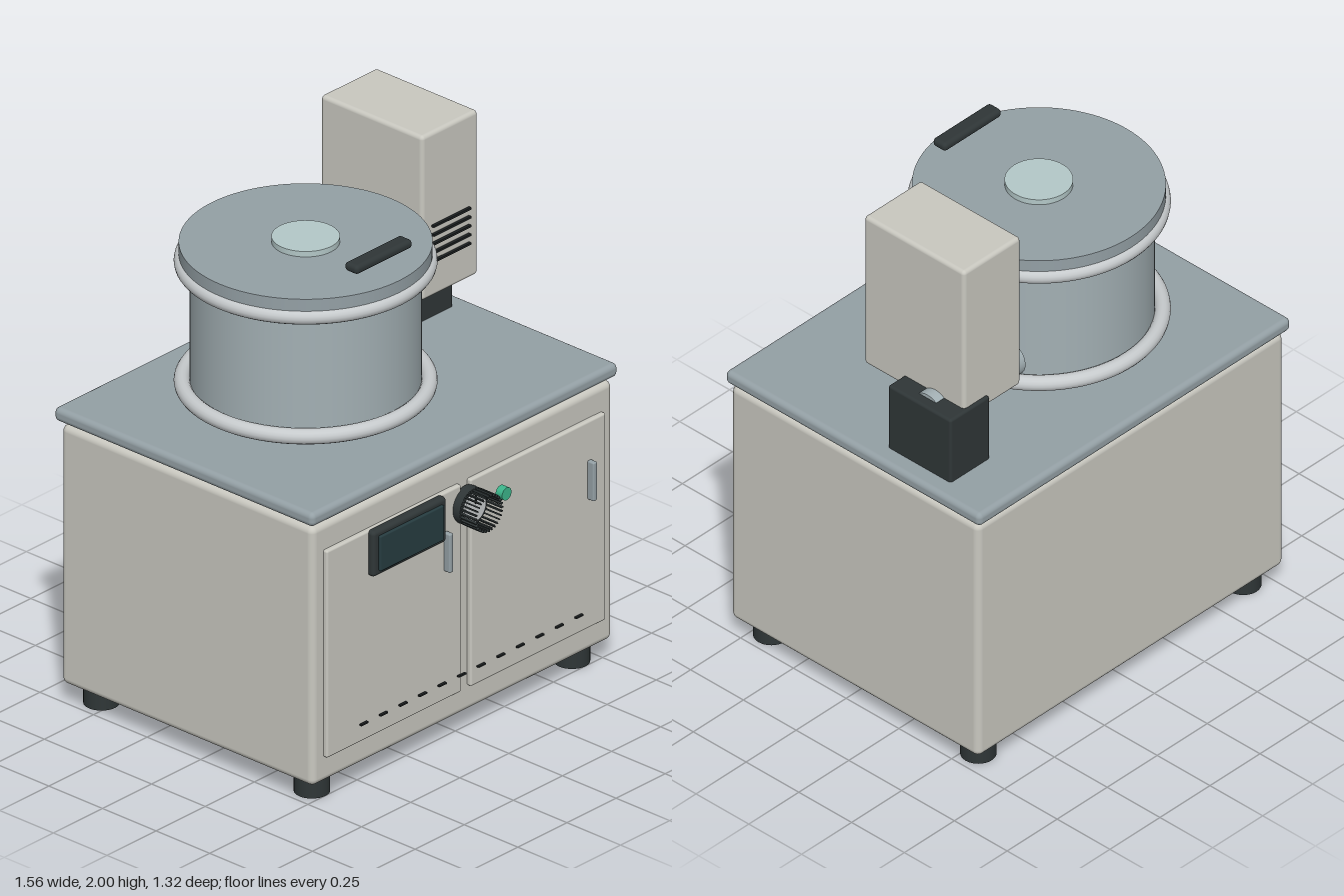
import * as THREE from 'three';
import { RoundedBoxGeometry } from 'three/addons/geometries/RoundedBoxGeometry.js';

const mat = (color) => new THREE.MeshStandardMaterial({ color });

export function createModel() {
  const model = new THREE.Group();
  const cream = mat(0xc9c8c0), slate = mat(0x94a0a5), steel = mat(0xa3b0b4), chrome = mat(0xc6cacc);
  const dark = mat(0x2f3637), black = mat(0x1c2021), glass = mat(0x263c40), green = mat(0x3cb48a), pale = mat(0xb4c8c8);

  const add = (name, geometry, material, x = 0, y = 0, z = 0) => {
    const mesh = new THREE.Mesh(geometry, material);
    mesh.name = name;
    mesh.position.set(x, y, z);
    model.add(mesh);
    return mesh;
  };

  // Box given by its limits on each axis, rounded when a radius is given
  const box = (name, material, [x0, x1], [y0, y1], [z0, z1], r = 0) => {
    const s = [x1 - x0, y1 - y0, z1 - z0];
    const geometry = r ? new RoundedBoxGeometry(...s, 4, r) : new THREE.BoxGeometry(...s);
    return add(name, geometry, material, (x0 + x1) / 2, (y0 + y1) / 2, (z0 + z1) / 2);
  };

  // Upright cylinder from y0 to y1
  const drum = (name, material, r, x, z, y0, y1, sides = 64) =>
    add(name, new THREE.CylinderGeometry(r, r, y1 - y0, sides), material, x, (y0 + y1) / 2, z);

  // Cylinder facing the front, from z0 to z1
  const dial = (name, material, r, x, y, z0, z1, sides = 48) => {
    const geometry = new THREE.CylinderGeometry(r, r, z1 - z0, sides).rotateX(Math.PI / 2);
    return add(name, geometry, material, x, y, (z0 + z1) / 2);
  };

  // Cabinet, worktop and feet
  box('cabinet', cream, [-0.765, 0.765], [0.08, 1.08], [-0.64, 0.535], 0.025);
  box('worktop', slate, [-0.78, 0.78], [1.092, 1.145], [-0.66, 0.548], 0.02);
  for (const x of [-0.662, 0.662]) {
    for (const z of [-0.543, 0.438]) drum('foot', dark, 0.063, x, z, 0, 0.09, 32);
  }

  // Doors with their pulls
  box('leftDoor', cream, [0.022, 0.71], [0.18, 0.98], [0.52, 0.553], 0.008);
  box('rightDoor', cream, [-0.71, -0.025], [0.18, 0.98], [0.52, 0.553], 0.008);
  for (const x of [-0.107, 0.625]) {
    box('doorPull', slate, [x - 0.01, x + 0.01], [0.68, 0.83], [0.55, 0.582], 0.006);
  }

  // Row of slots along the foot of the doors
  for (let i = 0; i < 12; i++) {
    const x = -0.535 + i * 0.0995;
    box('doorSlot', black, [x - 0.018, x + 0.018], [0.251, 0.257], [0.56, 0.57]);
  }

  // Display
  box('displayFrame', dark, [-0.5, -0.125], [0.805, 0.98], [0.54, 0.577], 0.014);
  box('displayScreen', glass, [-0.475, -0.15], [0.825, 0.96], [0.574, 0.588], 0.005);

  // Control knob with a crown of thin fins
  dial('knobBase', dark, 0.07, 0, 0.895, 0.545, 0.586);
  dial('knobFace', chrome, 0.055, 0, 0.895, 0.58, 0.594);
  box('knobPointer', black, [-0.003, 0.003], [0.912, 0.945], [0.59, 0.598]);
  for (let i = 0; i < 28; i++) {
    const a = (i / 28) * Math.PI * 2;
    const fin = add('knobFin', new THREE.BoxGeometry(0.01, 0.005, 0.076), dark,
      0.066 * Math.cos(a), 0.895 + 0.066 * Math.sin(a), 0.621);
    fin.rotation.z = a;
  }
  dial('button', green, 0.024, 0.15, 0.895, 0.573, 0.603, 32);

  // Vessel with rolled rims, lid and lid handle
  const vx = -0.15, vz = -0.06;
  drum('vessel', steel, 0.4, vx, vz, 1.2, 1.72, 96);
  for (const y of [1.22, 1.683]) {
    add('vesselRim', new THREE.TorusGeometry(0.426, 0.028, 16, 96).rotateX(Math.PI / 2), chrome, vx, y, vz);
  }
  drum('lid', slate, 0.437, vx, vz, 1.708, 1.755, 96);
  drum('lidWindow', pale, 0.118, vx, vz, 1.75, 1.776, 64);
  box('lidHandle', dark, [-0.295, -0.008], [1.804, 1.838], [0.25, 0.312], 0.015);

  // Drive: cross pipe, mounting block and motor housing
  add('drivePipe', new THREE.CylinderGeometry(0.066, 0.066, 0.42, 48).rotateZ(Math.PI / 2), steel, 0.46, 1.36, -0.31);
  box('mountBlock', dark, [0.513, 0.71], [1.085, 1.412], [-0.457, -0.16], 0.01);
  box('motorHousing', cream, [0.345, 0.63], [1.365, 2], [-0.445, 0.03], 0.015);
  for (let i = 0; i < 5; i++) {
    const y = 1.642 - i * 0.034;
    box('vent', black, [0.39, 0.58], [y - 0.004, y + 0.004], [0.032, 0.044]);
  }
  return model;
}
